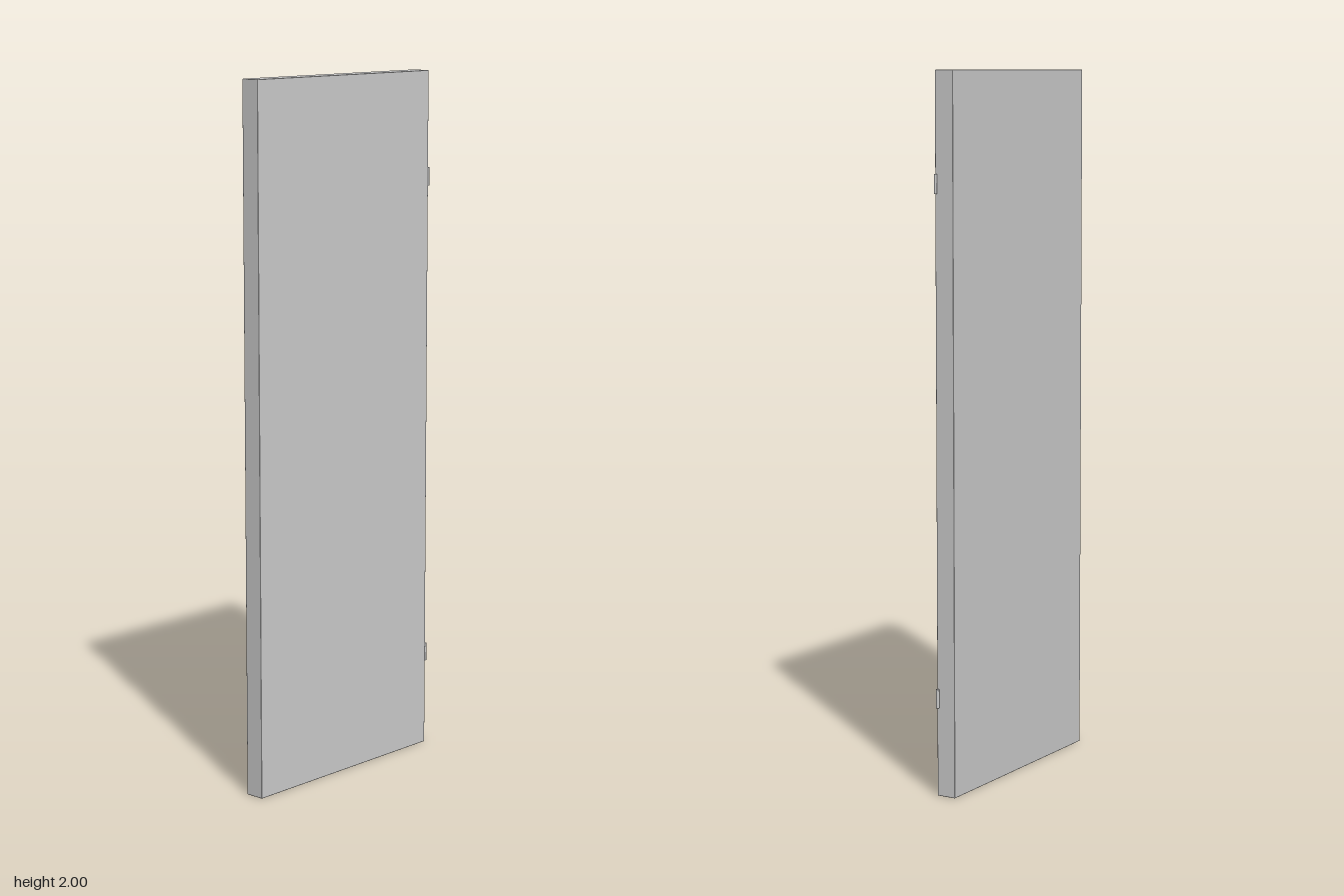
import * as THREE from 'three';
import { RoundedBoxGeometry } from 'three/addons/geometries/RoundedBoxGeometry.js';

export function createModel() {
  const model = new THREE.Group();
  model.name = 'cabinetDoor';
  const material = new THREE.MeshStandardMaterial({ color: 0xcccccc });

  // Door panel with slightly eased edges
  const left = -0.356, right = 0.347, height = 2, depth = 0.057;
  const panel = new THREE.Mesh(
    new RoundedBoxGeometry(right - left, height, depth, 2, 0.002), material);
  panel.name = 'doorPanel';
  panel.position.set((left + right) / 2, height / 2, 0);
  model.add(panel);

  // Two hinge barrels along the front edge of the model's left side
  const radius = 0.0045;
  const barrel = new THREE.CylinderGeometry(radius, radius, 0.053, 24);
  [['lowerHinge', 0.278], ['upperHinge', 1.696]].forEach(([name, y]) => {
    const hinge = new THREE.Mesh(barrel, material);
    hinge.name = name;
    hinge.position.set(right + radius, y, depth / 2 - radius);
    model.add(hinge);
  });

  return model;
}
